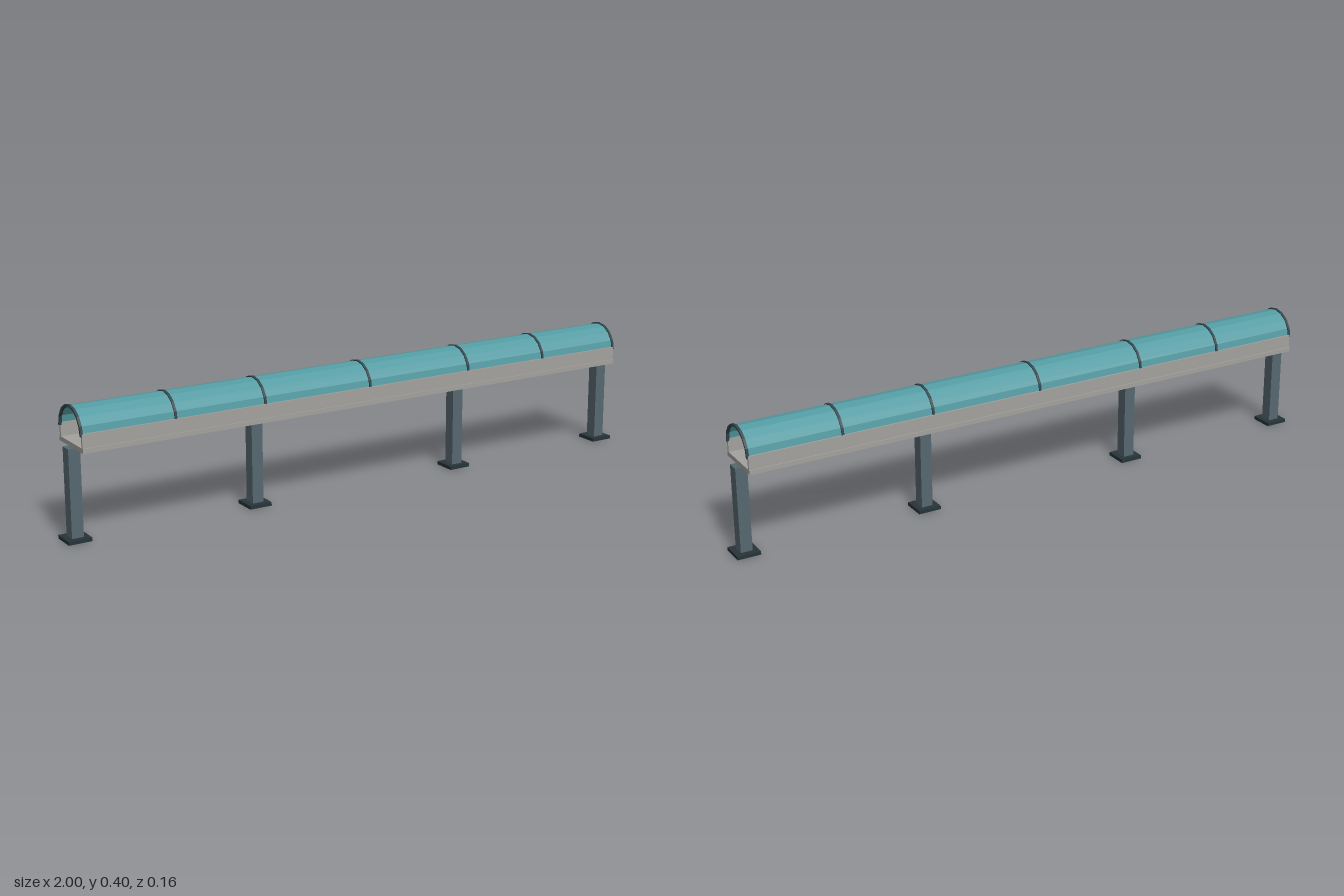
import * as THREE from 'three';

const mat = (color, extra = {}) => new THREE.MeshStandardMaterial({ color, flatShading: true, ...extra });

export function createModel() {
  const root = new THREE.Group();
  const concrete = mat(0xa5a39e);
  const steel = mat(0x566870);
  const darkSteel = mat(0x27343a);
  const ribSteel = mat(0x33454b);
  const glass = mat(0x559ca3, { side: THREE.DoubleSide });

  const add = (name, geometry, material, x, y, z, parent = root) => {
    const mesh = new THREE.Mesh(geometry, material);
    mesh.name = name;
    mesh.position.set(x, y, z);
    parent.add(mesh);
    return mesh;
  };

  const halfLength = 0.963;
  const springY = 0.327; // height where the arched roof begins
  const arcSteps = 8;

  // Deck and low side walls
  add('deck', new THREE.BoxGeometry(2 * halfLength, 0.014, 0.163), concrete, 0, 0.286, 0);
  for (const side of [1, -1]) {
    add(side > 0 ? 'frontWall' : 'backWall',
      new THREE.BoxGeometry(2 * halfLength, 0.042, 0.007), concrete, 0, 0.314, side * 0.0745);
  }

  // Supports: column on a base plate
  for (const x of [-halfLength, -0.37, 0.37, halfLength]) {
    const support = new THREE.Group();
    support.name = 'support';
    support.position.x = x;
    root.add(support);
    add('column', new THREE.BoxGeometry(0.037, 0.268, 0.038), steel, 0, 0.145, 0, support);
    add('basePlate', new THREE.BoxGeometry(0.074, 0.011, 0.074), darkSteel, 0, 0.0055, 0, support);
  }

  // Arched roof: an open half cylinder along x
  const roof = new THREE.CylinderGeometry(0.0745, 0.0745, 2 * halfLength, arcSteps, 1, true, 0, Math.PI);
  roof.rotateZ(Math.PI / 2);
  add('glassRoof', roof, glass, 0, springY, 0);

  // Ribs: faceted half rings that stand slightly proud of the glass
  const outline = new THREE.Shape();
  for (const [radius, reverse] of [[0.0775, false], [0.071, true]]) {
    for (let i = 0; i <= arcSteps; i++) {
      const a = Math.PI * (reverse ? arcSteps - i : i) / arcSteps;
      const px = radius * Math.cos(a), py = radius * Math.sin(a);
      if (i === 0 && !reverse) outline.moveTo(px, py);
      else outline.lineTo(px, py);
    }
  }
  outline.closePath();
  const rib = new THREE.ExtrudeGeometry(outline, { depth: 0.008, bevelEnabled: false });
  rib.translate(0, 0, -0.004).rotateY(Math.PI / 2);
  for (const x of [-halfLength, -0.667, -0.37, 0, 0.37, 0.667, halfLength]) {
    add('roofRib', rib, ribSteel, x, springY, 0);
  }

  return root;
}
